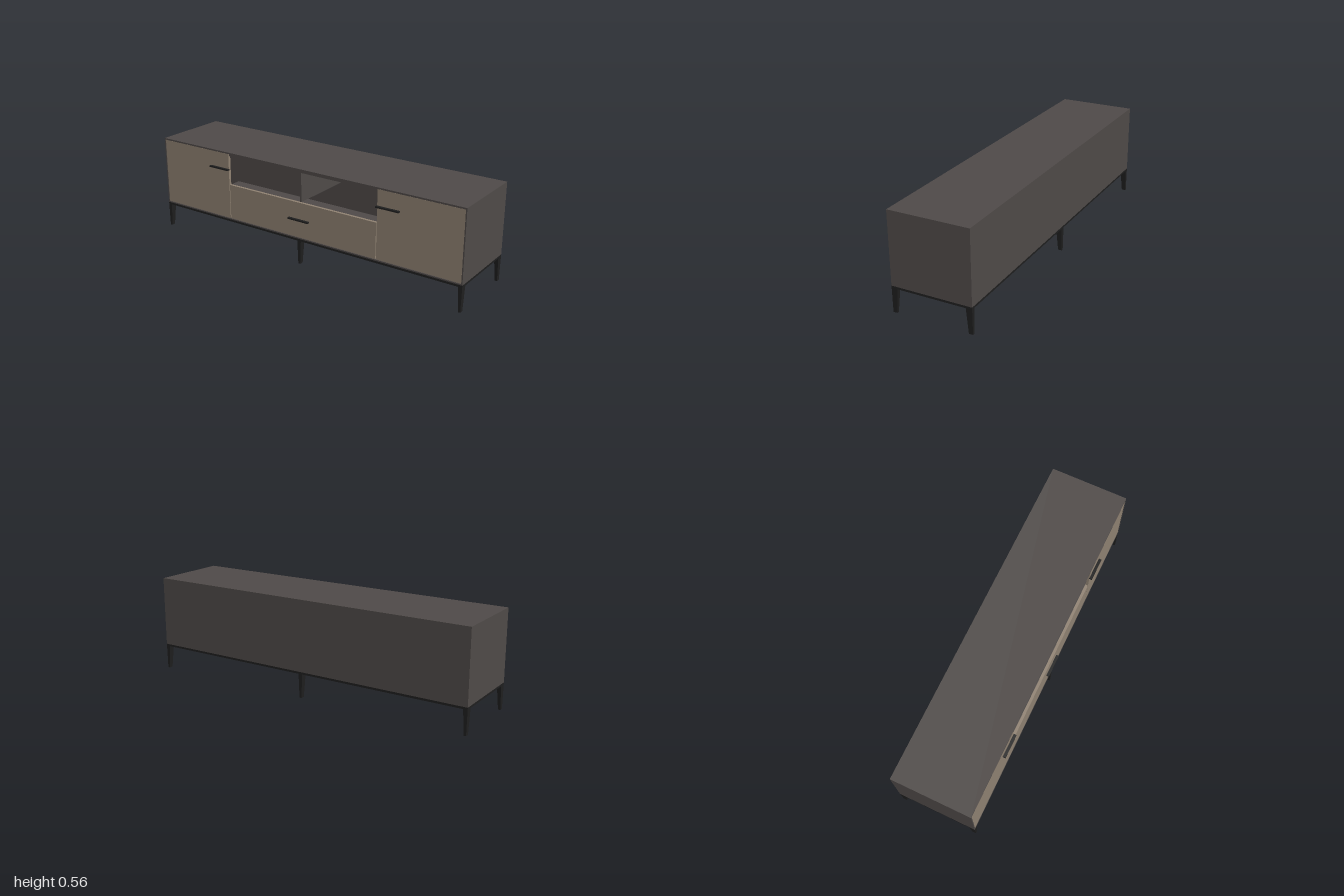
import * as THREE from 'three';

const material = (name, color) => {
  const m = new THREE.MeshStandardMaterial({ color });
  m.name = name;
  return m;
};

export function createModel() {
  const group = new THREE.Group();
  const shell = material('dark taupe', 0x504b49);
  const wood = material('beige wood', 0x918373);
  const metal = material('black metal', 0x1f1f1f);

  const add = (name, geometry, mat) => {
    const mesh = new THREE.Mesh(geometry, mat);
    mesh.name = name;
    group.add(mesh);
    return mesh;
  };
  // Box given by its lower and upper limits on each axis
  const box = (name, mat, x0, x1, y0, y1, z0, z1) => {
    const g = new THREE.BoxGeometry(x1 - x0, y1 - y0, z1 - z0);
    g.translate((x0 + x1) / 2, (y0 + y1) / 2, (z0 + z1) / 2);
    return add(name, g, mat);
  };

  const back = -0.235, front = 0.223;

  // Hollow carcass
  box('topPanel', shell, -1, 1, 0.551, 0.56, back, front);
  box('bottomPanel', shell, -1, 1, 0.15, 0.157, back, front);
  box('backPanel', shell, -0.993, 0.993, 0.157, 0.551, back, back + 0.01);
  for (const s of [-1, 1]) {
    const x = s * 0.9965;
    box('sidePanel', shell, x - 0.0035, x + 0.0035, 0.157, 0.551, back, front);
  }

  // Open compartment: rails above and below, with a central divider
  box('upperRail', shell, -0.497, 0.497, 0.538, 0.551, 0.13, 0.217);
  box('shelfRail', shell, -0.497, 0.497, 0.352, 0.364, 0.14, 0.207);
  box('divider', shell, -0.004, 0.004, 0.364, 0.551, back + 0.01, 0.203);

  // Doors and drawer front
  for (const s of [-1, 1]) {
    const a = s * 0.499, b = s * 0.992;
    box('door', wood, Math.min(a, b), Math.max(a, b), 0.159, 0.55, 0.205, 0.221);
  }
  box('drawerFront', wood, -0.495, 0.495, 0.159, 0.365, 0.205, 0.221);

  // Slim bar handles
  for (const [x, y] of [[-0.565, 0.457], [0, 0.264], [0.565, 0.457]]) {
    box('handle', metal, x - 0.068, x + 0.068, y - 0.004, y + 0.004, 0.219, 0.237);
  }

  // Base frame under the carcass
  box('frontBaseRail', metal, -1, 1, 0.138, 0.15, front - 0.014, front);
  box('backBaseRail', metal, -1, 1, 0.138, 0.15, back, back + 0.014);
  for (const s of [-1, 1]) {
    box('endBaseRail', metal, s * 0.993 - 0.007, s * 0.993 + 0.007, 0.138, 0.15, back + 0.014, front - 0.014);
  }

  // Tapered legs: outer faces stay upright, inner faces slope
  for (const sx of [-1, 0, 1]) {
    for (const sz of [-1, 1]) {
      const g = new THREE.BoxGeometry(1, 1, 1);
      const p = g.attributes.position;
      for (let i = 0; i < p.count; i++) {
        const top = p.getY(i) > 0;
        const w = top ? 0.025 : 0.013, d = top ? 0.036 : 0.023;
        const cx = sx * ((top ? 1 : 0.998) - w / 2);
        const cz = sz > 0 ? front - d / 2 : back + d / 2;
        p.setXYZ(i, cx + p.getX(i) * w, top ? 0.15 : 0, cz + p.getZ(i) * d);
      }
      const flat = g.toNonIndexed();
      flat.computeVertexNormals();
      add('leg', flat, metal);
    }
  }
  return group;
}
